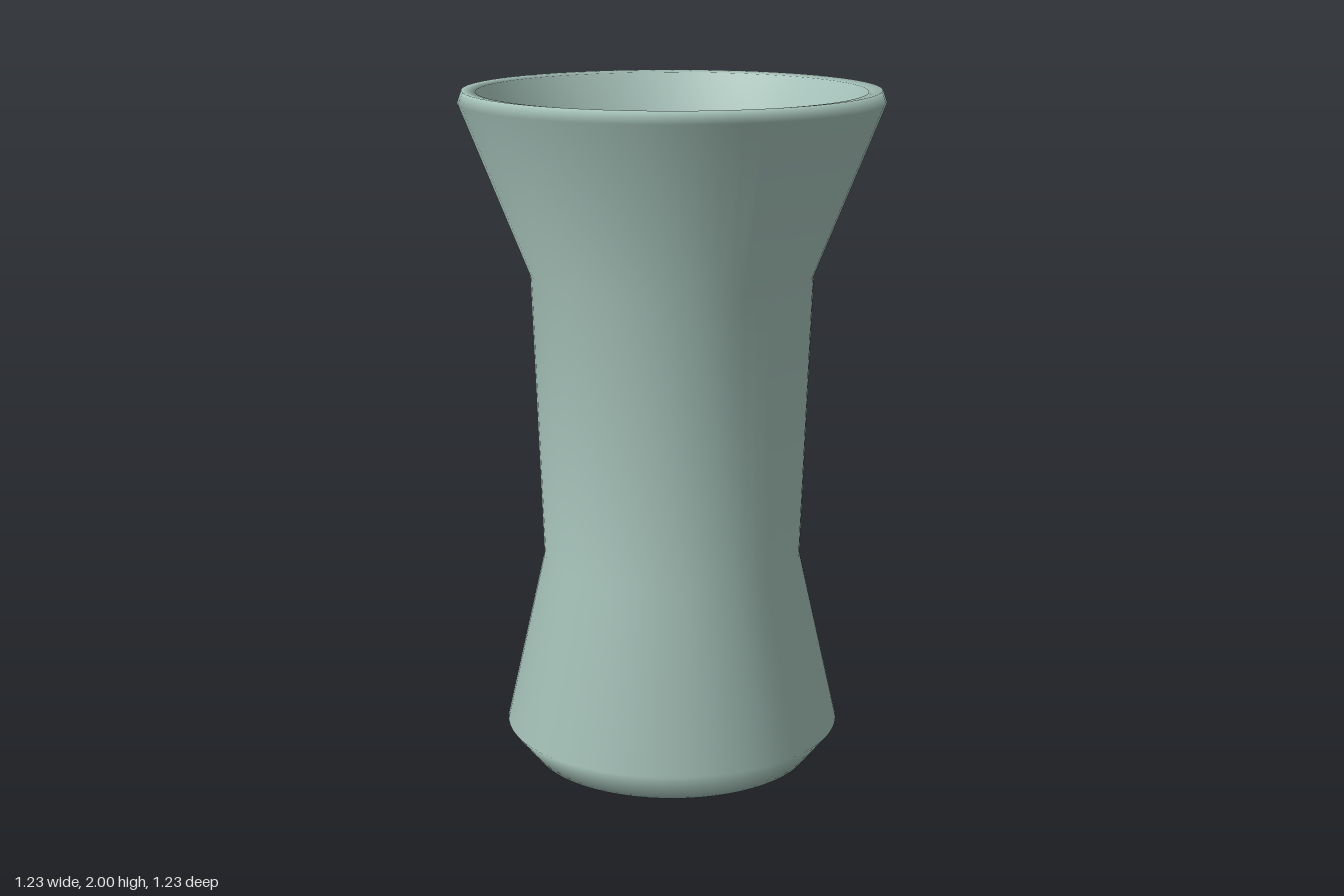
import * as THREE from 'three';

export function createModel() {
  const group = new THREE.Group();
  group.name = 'vase';

  const glaze = new THREE.MeshStandardMaterial({ color: 0xa8c5bc });
  glaze.name = 'pale sage glaze';

  // One closed profile: up the outside, over the lip, down the inside
  const profile = [
    // underside and chamfered foot
    [0, 0], [0.42, 0], [0.5, 0.1],
    // waist, neck and flared mouth
    [0.383, 0.62], [0.413, 1.465], [0.613, 1.965],
    // lip
    [0.6, 2], [0.56, 1.995],
    // inner wall and floor
    [0.37, 1.48], [0.34, 0.62], [0.445, 0.12], [0.4, 0.06], [0, 0.06],
  ].map(([x, y]) => new THREE.Vector2(x, y));

  const body = new THREE.Mesh(new THREE.LatheGeometry(profile, 64), glaze);
  body.name = 'vaseBody';
  group.add(body);
  return group;
}
